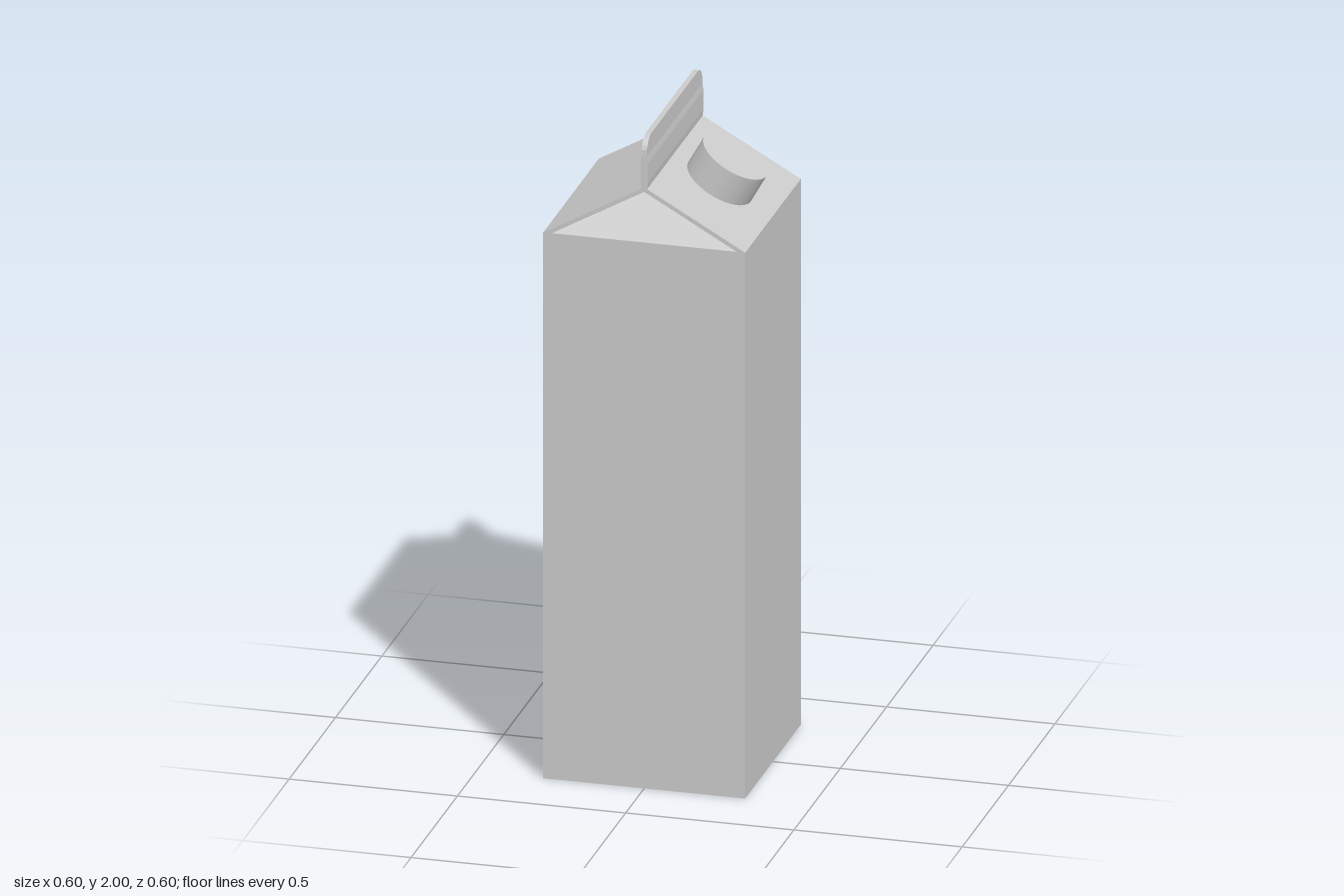
import * as THREE from 'three';

const W = 0.3, EAVE = 1.68, RIDGE = 1.85, INNER = 1.836;

const grey = new THREE.MeshStandardMaterial({ color: 0xcccccc });
const flat = new THREE.MeshStandardMaterial({ color: 0xcccccc, flatShading: true });
const sheet = new THREE.MeshStandardMaterial({ color: 0xcccccc, flatShading: true, side: THREE.DoubleSide });

function add(parent, name, geometry, material) {
  const mesh = new THREE.Mesh(geometry, material);
  mesh.name = name;
  parent.add(mesh);
  return mesh;
}

// Solid stacked from rectangles, each row [y, half width, half depth]
function loftRectangles(rows) {
  const pos = [], idx = [];
  for (const [y, w, d] of rows) pos.push(-w, y, d, w, y, d, w, y, -d, -w, y, -d);
  for (let r = 0; r < rows.length - 1; r++) {
    for (let i = 0; i < 4; i++) {
      const a = r * 4 + i, b = r * 4 + (i + 1) % 4;
      idx.push(a, b, b + 4, a, b + 4, a + 4);
    }
  }
  const t = (rows.length - 1) * 4;
  idx.push(t, t + 1, t + 2, t, t + 2, t + 3, 0, 2, 1, 0, 3, 2);
  const g = new THREE.BufferGeometry();
  g.setAttribute('position', new THREE.Float32BufferAttribute(pos, 3));
  g.setIndex(idx);
  const out = g.toNonIndexed();
  out.computeVertexNormals();
  return out;
}

export function createModel() {
  const carton = new THREE.Group();
  carton.name = 'carton';

  // Tall square body
  const body = add(carton, 'body', new THREE.BoxGeometry(2 * W, EAVE, 2 * W), grey);
  body.position.y = EAVE / 2;

  // Two sloping roof panels with a thin wall
  const chevron = new THREE.Shape([
    [-W, EAVE], [-W + 0.025, EAVE], [0, INNER], [W - 0.025, EAVE], [W, EAVE], [0, RIDGE],
  ].map(([x, y]) => new THREE.Vector2(x, y)));
  const roof = new THREE.ExtrudeGeometry(chevron, { depth: 2 * W, bevelEnabled: false });
  roof.translate(0, 0, -W);
  add(carton, 'roof', roof, grey);

  // Gussets folded in under the roof at the front and back
  for (const [name, s] of [['frontGusset', 1], ['backGusset', -1]]) {
    const g = new THREE.BufferGeometry();
    g.setAttribute('position', new THREE.Float32BufferAttribute([
      -s * (W - 0.012), EAVE + 0.001, s * W,
      s * (W - 0.012), EAVE + 0.001, s * W,
      0, INNER + 0.003, 0,
    ], 3));
    g.computeVertexNormals();
    add(carton, name, g, sheet);
  }

  // Sealed top fin: thicker lower band, pressed upper band, rounded corners
  const rows = [
    [RIDGE - 0.01, 0.008, W], [1.865, 0.011, W], [1.925, 0.011, W], [1.945, 0.008, W],
  ];
  const R = 0.048;
  for (let i = 1; i <= 6; i++) {
    const a = (i / 6) * Math.PI / 2;
    rows.push([2 - R + R * Math.sin(a), 0.008, W - R + R * Math.cos(a)]);
  }
  add(carton, 'topFin', loftRectangles(rows), flat);

  // Screw cap square to the left roof panel, its base sunk slightly
  const cap = add(carton, 'cap', new THREE.CylinderGeometry(0.106, 0.106, 0.105, 40), grey);
  const tilt = Math.atan2(RIDGE - EAVE, W);
  cap.rotation.z = -tilt;
  cap.position.set(0.142 + 0.043 * Math.sin(tilt), 1.77 + 0.043 * Math.cos(tilt), 0);

  return carton;
}
